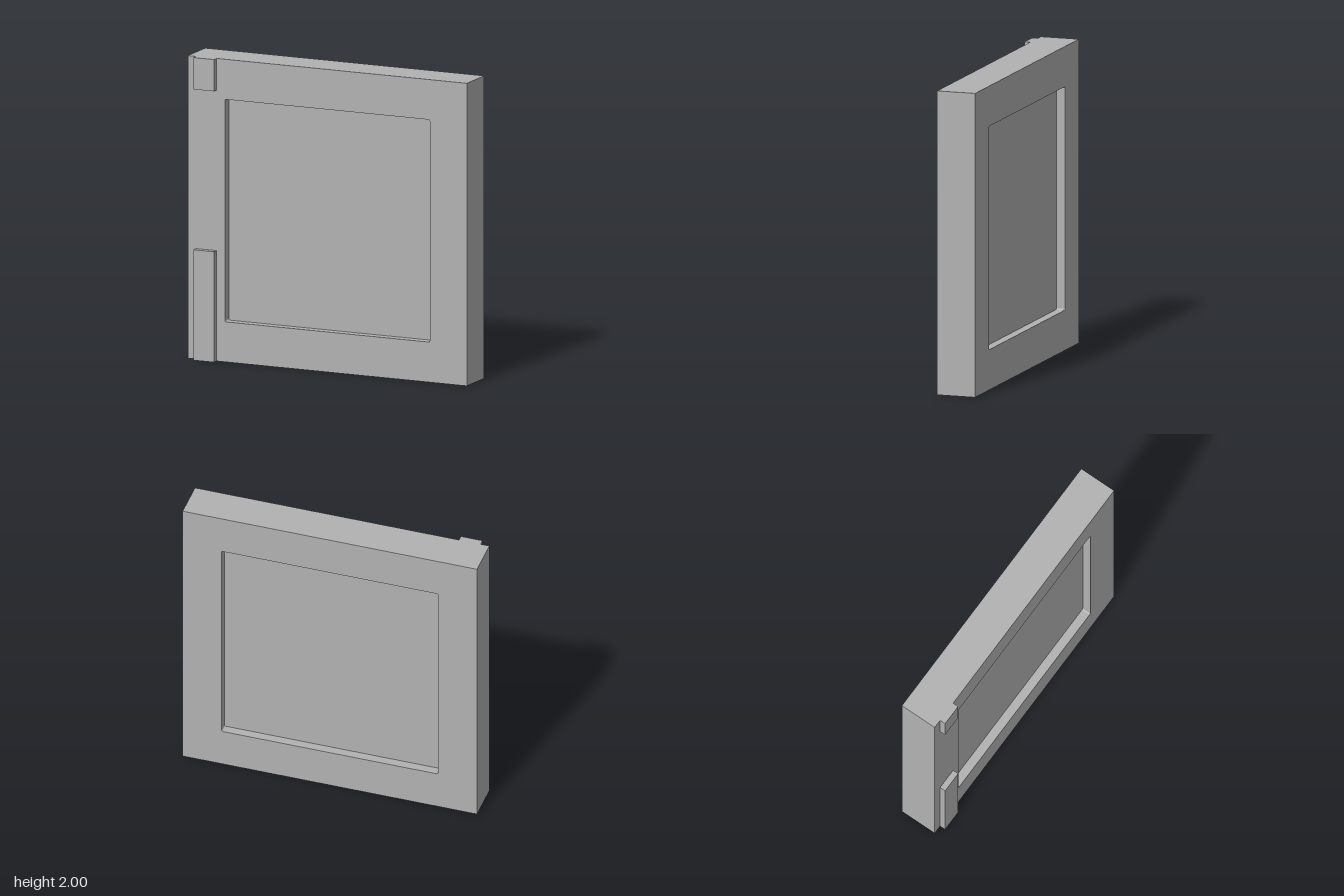
import * as THREE from 'three';

const BACK = -0.15, FRONT = 0.11;

// Rectangle outline with optional small corner radius
function rectangle(path, half, y0, y1, r) {
  path.moveTo(-half + r, y0);
  path.lineTo(half - r, y0);
  if (r) path.absarc(half - r, y0 + r, r, -Math.PI / 2, 0);
  path.lineTo(half, y1 - r);
  if (r) path.absarc(half - r, y1 - r, r, 0, Math.PI / 2);
  path.lineTo(-half + r, y1);
  if (r) path.absarc(-half + r, y1 - r, r, Math.PI / 2, Math.PI);
  path.lineTo(-half, y0 + r);
  if (r) path.absarc(-half + r, y0 + r, r, Math.PI, Math.PI * 1.5);
  path.closePath();
  return path;
}

export function createModel() {
  const model = new THREE.Group();
  model.name = 'framedPanel';
  const grey = new THREE.MeshStandardMaterial({ color: 0xb2b2b2 });
  grey.name = 'grey';

  function add(name, geometry, x, y, z) {
    const mesh = new THREE.Mesh(geometry, grey);
    mesh.name = name;
    mesh.position.set(x, y, z);
    model.add(mesh);
  }

  // Square frame around the opening
  const outline = rectangle(new THREE.Shape(), 1, 0, 2, 0);
  outline.holes.push(rectangle(new THREE.Path(), 0.735, 0.265, 1.735, 0.01));
  add('frame', new THREE.ExtrudeGeometry(outline, {
    depth: FRONT - BACK, bevelEnabled: false, curveSegments: 4,
  }), 0, 0, BACK);

  // Panel recessed equally from both sides, tucked into the frame
  add('panel', new THREE.BoxGeometry(1.5, 1.5, 0.14), 0, 1, (FRONT + BACK) / 2);

  // Raised blocks on the front right edge
  for (const [name, y0, y1] of [['upperBlock', 1.79, 2], ['lowerBlock', 0, 0.73]]) {
    add(name, new THREE.BoxGeometry(0.146, y1 - y0, 0.04), -0.867, (y0 + y1) / 2, FRONT + 0.02);
  }
  return model;
}
